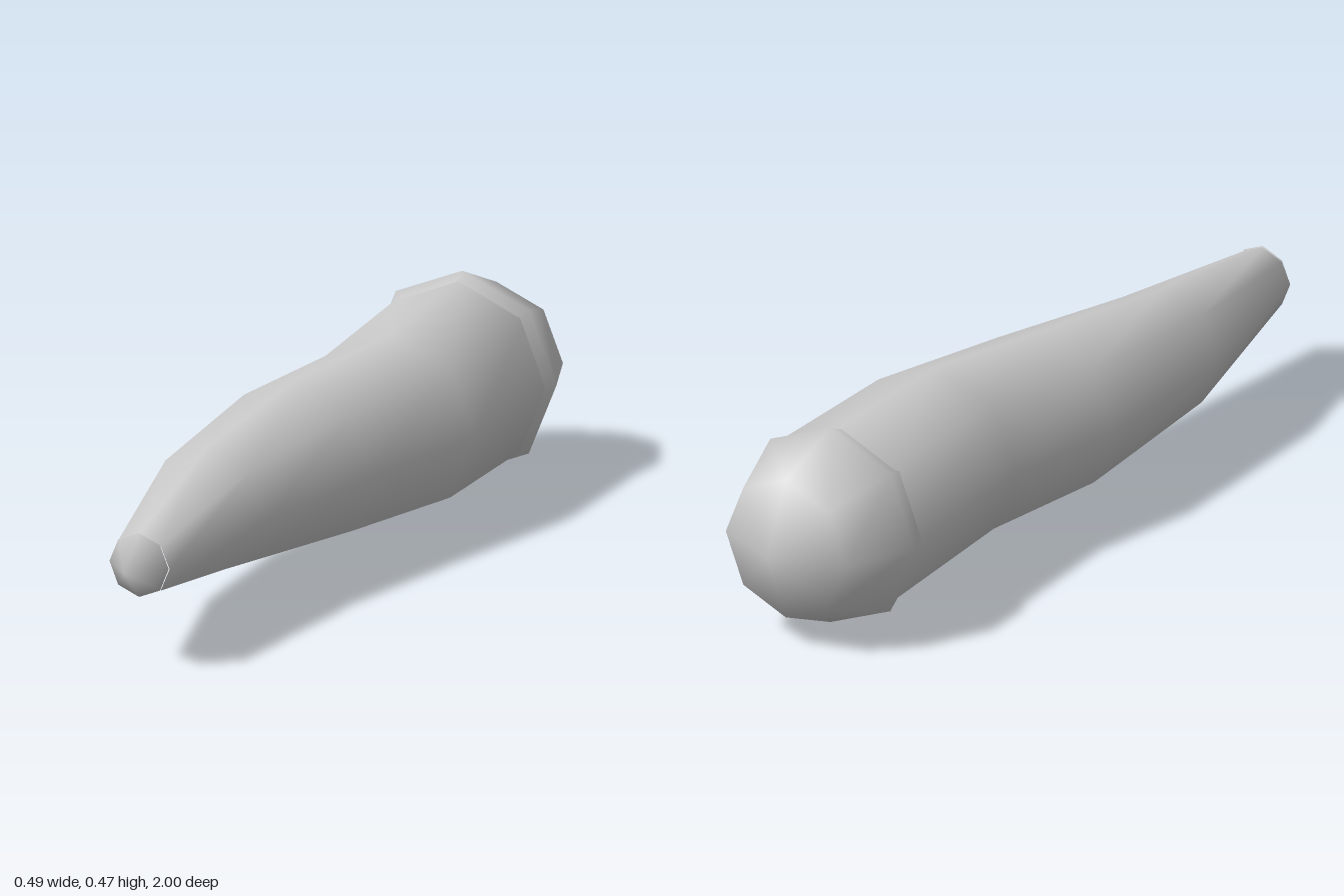
import * as THREE from 'three';

const SIDES = 8;
const CENTER_Y = 0.236;

// Cross-sections of the bent body, back to front: [xMin, zAtXMin, xMax, zAtXMax, vertical radius]
const SECTIONS = [
  [-0.228, -0.74, 0.206, -0.79, 0.221],
  [-0.17, -0.28, 0.245, -0.33, 0.211],
  [-0.205, 0.03, 0.185, 0.05, 0.195],
  [-0.16, 0.48, 0.13, 0.45, 0.148],
  [-0.025, 0.93, 0.121, 0.92, 0.073],
];

// Skin of eight-sided loops with shared vertices for smooth shading
function loftBody() {
  const positions = [];
  const index = [];
  SECTIONS.forEach(([x0, z0, x1, z1, r], i) => {
    for (let j = 0; j < SIDES; j++) {
      const a = (j / SIDES) * Math.PI * 2;
      const t = (1 + Math.cos(a)) / 2;
      positions.push(x0 + (x1 - x0) * t, CENTER_Y + r * Math.sin(a), z0 + (z1 - z0) * t);
      if (i === SECTIONS.length - 1) continue;
      const p = i * SIDES + j;
      const q = i * SIDES + ((j + 1) % SIDES);
      index.push(p, q, p + SIDES, q, q + SIDES, p + SIDES);
    }
  });
  const geometry = new THREE.BufferGeometry();
  geometry.setAttribute('position', new THREE.Float32BufferAttribute(positions, 3));
  geometry.setIndex(index);
  geometry.computeVertexNormals();
  return geometry;
}

// Low-poly ball with its poles along z
function ball(radius, rings) {
  return new THREE.SphereGeometry(radius, SIDES, rings).rotateX(Math.PI / 2);
}

export function createModel() {
  const group = new THREE.Group();
  group.name = 'taperedBentRod';
  const material = new THREE.MeshStandardMaterial({ color: 0xcccccc });

  const add = (name, geometry, x = 0, y = 0, z = 0) => {
    const mesh = new THREE.Mesh(geometry, material);
    mesh.name = name;
    mesh.position.set(x, y, z);
    group.add(mesh);
  };

  add('body', loftBody());
  // Rounded butt at the thick end
  add('backKnob', ball(0.235, 4), -0.012, CENTER_Y, -0.765);
  // Blunt point at the thin end
  add('frontTip', ball(0.074, 2), 0.048, CENTER_Y + 0.002, 0.926);

  return group;
}
